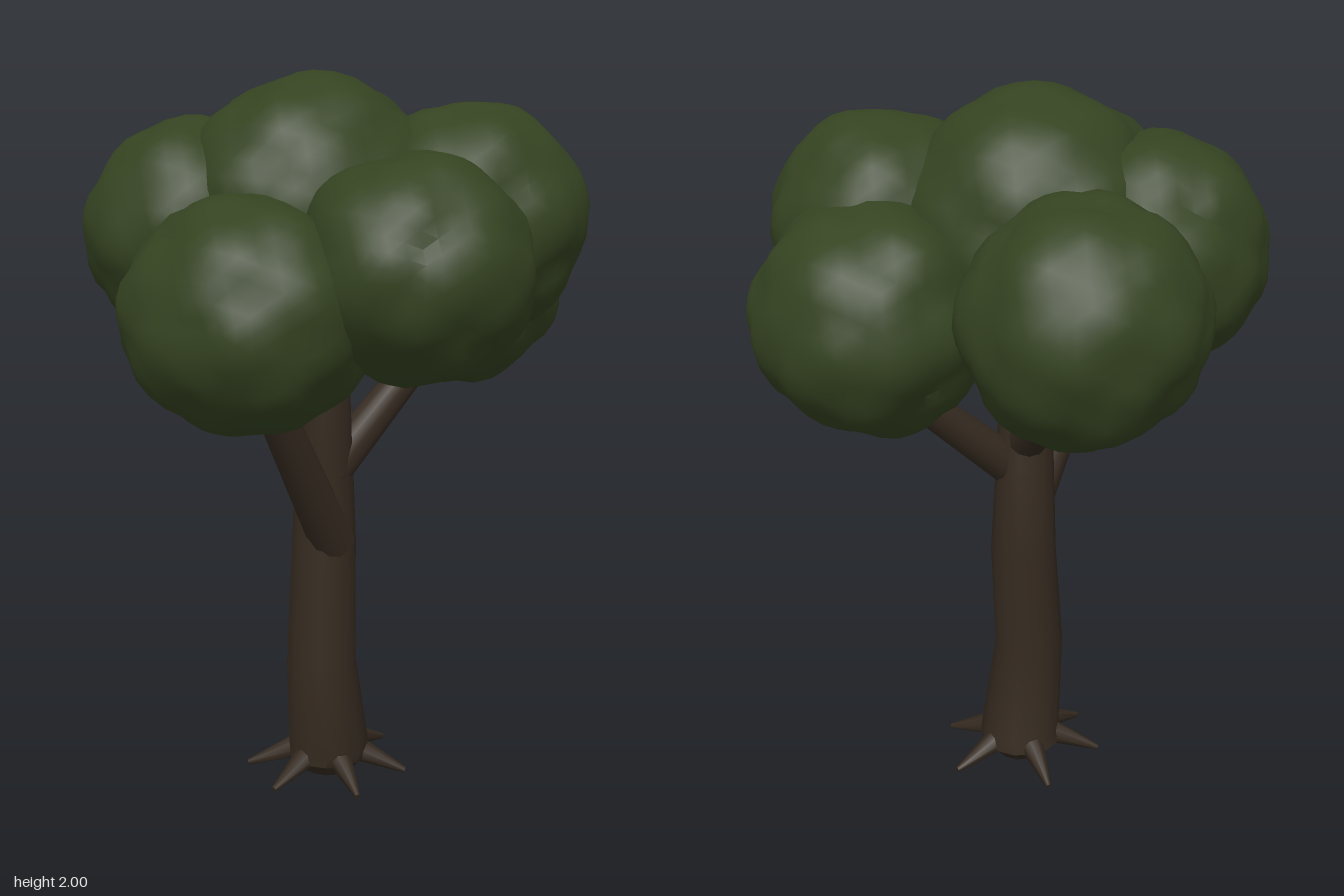
import * as THREE from 'three';
import { mergeVertices, toCreasedNormals } from 'three/addons/utils/BufferGeometryUtils.js';

const bark = new THREE.MeshStandardMaterial({ color: 0x352a20 });
bark.name = 'bark';
const leaf = new THREE.MeshStandardMaterial({ color: 0x354321 });
leaf.name = 'leaf';

// Trunk rings: x, y, z, radius
const TRUNK = [
  [0, 0, 0, 0.001], [0, 0.005, 0, 0.075], [0, 0.03, 0, 0.1], [0, 0.05, 0, 0.119], [0, 0.08, 0.005, 0.118],
  [-0.045, 0.36, 0.015, 0.1], [0.008, 0.7, -0.02, 0.093],
  [-0.015, 0.95, 0, 0.082], [-0.03, 1.25, 0.01, 0.071], [-0.04, 1.6, 0, 0.05], [-0.04, 1.6, 0, 0.001],
];

// Leaf clumps: name, centre, radii
const CLUMPS = [
  ['crownTop', [-0.04, 1.645, -0.02], [0.385, 0.355, 0.37]],
  ['crownBackRight', [-0.23, 1.58, -0.255], [0.325, 0.32, 0.32]],
  ['crownBackLeft', [0.13, 1.485, -0.385], [0.325, 0.325, 0.32]],
  ['crownLeft', [0.4, 1.435, 0.125], [0.315, 0.32, 0.34]],
  ['crownFrontLeft', [0.215, 1.605, 0.31], [0.32, 0.325, 0.325]],
  ['crownFront', [-0.125, 1.515, 0.385], [0.32, 0.3, 0.315]],
  ['crownRight', [-0.4, 1.4, 0.08], [0.315, 0.31, 0.34]],
];

// Branches: name, start, end, start radius, end radius
const BRANCHES = [
  ['branchRight', [0.0, 0.7, 0.02], [-0.42, 1.35, 0.08], 0.065, 0.042],
  ['branchLeft', [-0.02, 0.91, 0.02], [0.39, 1.28, 0.11], 0.06, 0.042],
  ['branchBack', [-0.01, 1.01, 0.0], [0.135, 1.38, -0.39], 0.059, 0.042],
];

const ROOT_ANGLES = [5, 64, 118, 180, 227, 291];

function seeded(seed) {
  let s = seed * 7919 + 17;
  return () => (s = (s * 16807) % 2147483647) / 2147483647;
}

function addMesh(group, name, geometry, material) {
  const mesh = new THREE.Mesh(geometry, material);
  mesh.name = name;
  group.add(mesh);
  return mesh;
}

// Lathe whose rings are slid sideways to follow the bent trunk
function trunkGeometry() {
  const geo = new THREE.LatheGeometry(TRUNK.map(([, y, , r]) => new THREE.Vector2(r, y)), 14);
  const pos = geo.attributes.position;
  for (let i = 0; i < pos.count; i++) {
    const [x, , z] = TRUNK[i % TRUNK.length];
    pos.setX(i, pos.getX(i) + x);
    pos.setZ(i, pos.getZ(i) + z);
  }
  return toCreasedNormals(geo, 0.7);
}

// Tapered limb between two points
function addLimb(group, name, from, to, r0, r1, sides) {
  const a = new THREE.Vector3(...from), b = new THREE.Vector3(...to);
  const dir = b.clone().sub(a);
  const limb = addMesh(group, name, new THREE.CylinderGeometry(r1, r0, dir.length(), sides), bark);
  limb.position.copy(a).add(b).multiplyScalar(0.5);
  limb.quaternion.setFromUnitVectors(new THREE.Vector3(0, 1, 0), dir.normalize());
}

// Sphere swollen into small rounded puffs around scattered directions
function clumpGeometry(radii, seed) {
  const rand = seeded(seed + 3);
  const puffs = [];
  const count = 40;
  for (let i = 0; i < count; i++) {
    const y = 1 - 2 * (i + 0.5) / count;
    const a = i * 2.39996 + seed;
    const r = Math.sqrt(1 - y * y);
    const jitter = () => (rand() - 0.5) * 0.35;
    puffs.push({
      dir: new THREE.Vector3(r * Math.cos(a) + jitter(), y + jitter(), r * Math.sin(a) + jitter()).normalize(),
      size: 0.965 + rand() * 0.04,
    });
  }
  let geo = new THREE.IcosahedronGeometry(1, 7);
  geo.deleteAttribute('uv');
  geo.deleteAttribute('normal');
  geo = mergeVertices(geo, 1e-4);
  const pos = geo.attributes.position;
  const v = new THREE.Vector3();
  for (let i = 0; i < pos.count; i++) {
    v.fromBufferAttribute(pos, i).normalize();
    let swell = 0;
    for (const p of puffs) swell = Math.max(swell, p.size - 0.42 * v.distanceToSquared(p.dir));
    v.multiplyScalar(swell + (rand() - 0.5) * 0.014);
    pos.setXYZ(i, v.x * radii[0], v.y * radii[1], v.z * radii[2]);
  }
  return toCreasedNormals(geo, 0.5);
}

export function createModel() {
  const tree = new THREE.Group();
  tree.name = 'tree';

  addMesh(tree, 'trunk', trunkGeometry(), bark);

  // Pointed roots around the foot
  const roots = new THREE.Group();
  roots.name = 'roots';
  tree.add(roots);
  for (const angle of ROOT_ANGLES) {
    const a = THREE.MathUtils.degToRad(angle);
    const c = Math.cos(a), s = Math.sin(a);
    addLimb(roots, 'root', [0.08 * c, 0.07, 0.08 * s], [0.235 * c, 0.015, 0.235 * s], 0.038, 0.008, 8);
  }

  const branches = new THREE.Group();
  branches.name = 'branches';
  tree.add(branches);
  for (const [name, from, to, r0, r1] of BRANCHES) addLimb(branches, name, from, to, r0, r1, 12);

  const crown = new THREE.Group();
  crown.name = 'crown';
  tree.add(crown);
  CLUMPS.forEach(([name, centre, radii], i) => {
    addMesh(crown, name, clumpGeometry(radii, i + 1), leaf).position.set(...centre);
  });

  return tree;
}
